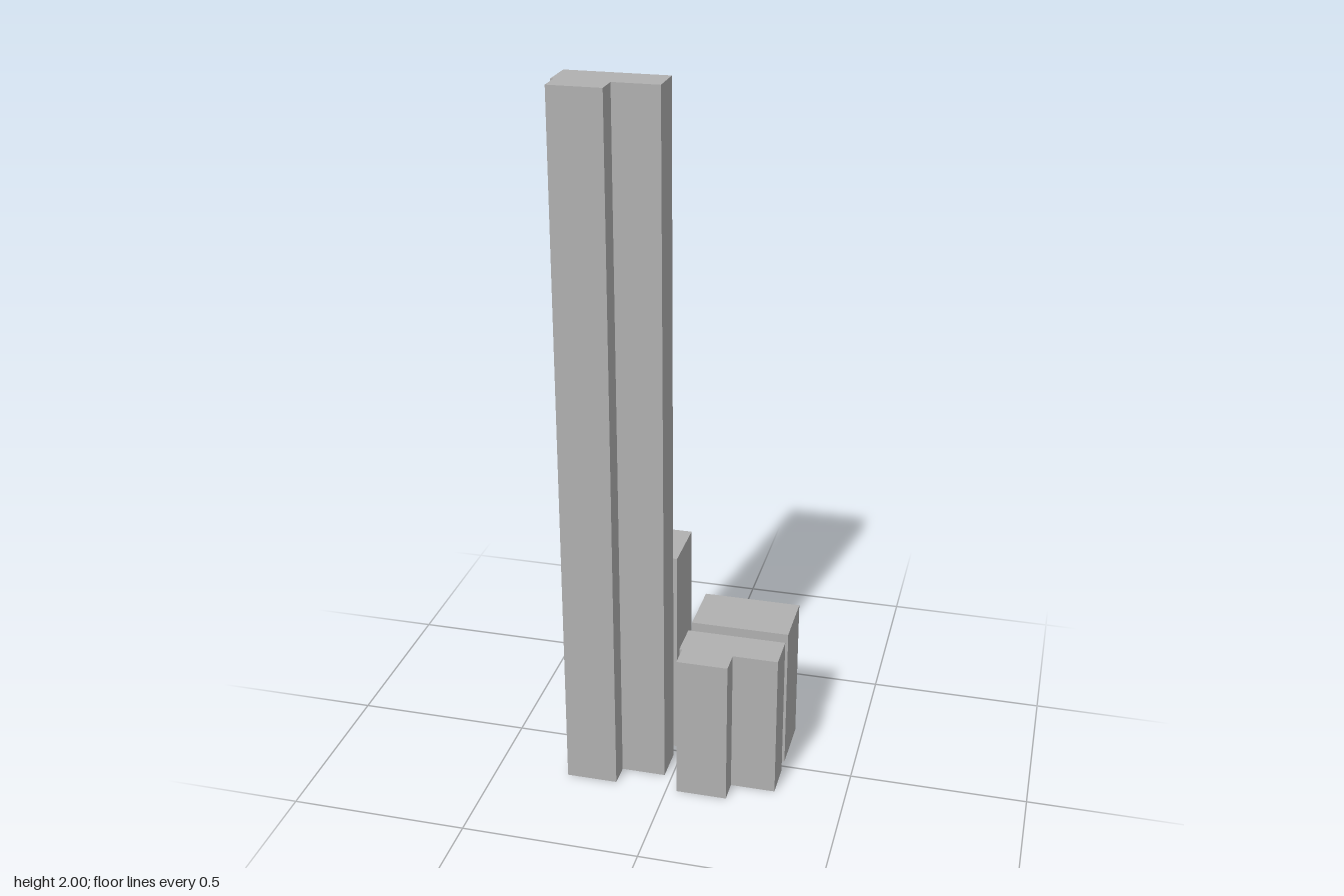
import * as THREE from 'three';

const concrete = new THREE.MeshStandardMaterial({ color: 0xb0b0b0 });
concrete.name = 'concrete grey';

// Rectangular block given by its extents
function block(name, x0, x1, y0, y1, z0, z1) {
  const mesh = new THREE.Mesh(new THREE.BoxGeometry(x1 - x0, y1 - y0, z1 - z0), concrete);
  mesh.position.set((x0 + x1) / 2, (y0 + y1) / 2, (z0 + z1) / 2);
  mesh.name = name;
  return mesh;
}

// Block with a narrower bay projecting to the front, extruded upward from its plan
function steppedTower(name, x0, x1, bayX0, bayX1, height) {
  const back = 0.021, step = 0.126, front = 0.192;
  const plan = [
    [x0, back], [x0, step], [bayX0, step], [bayX0, front],
    [bayX1, front], [bayX1, step], [x1, step], [x1, back],
  ].map(([x, z]) => new THREE.Vector2(x, -z));
  const geometry = new THREE.ExtrudeGeometry(new THREE.Shape(plan), { depth: height, bevelEnabled: false });
  geometry.rotateX(-Math.PI / 2);
  const mesh = new THREE.Mesh(geometry, concrete);
  mesh.name = name;
  return mesh;
}

export function createModel() {
  const group = new THREE.Group();
  group.name = 'towerCluster';
  group.add(
    // Front row: tall and low towers sharing the same plan
    steppedTower('frontTallTower', -0.301, -0.022, -0.293, -0.148, 2),
    steppedTower('frontLowTower', 0.022, 0.301, 0.03, 0.174, 0.43),
    // Back row: podium with a slim upper tower, and a low block
    block('backPodium', -0.301, -0.022, 0, 0.63, -0.194, -0.023),
    block('backUpperTower', -0.248, -0.076, 0.63, 1.145, -0.162, -0.056),
    block('backLowBlock', 0.022, 0.301, 0, 0.43, -0.194, -0.023),
  );
  return group;
}
